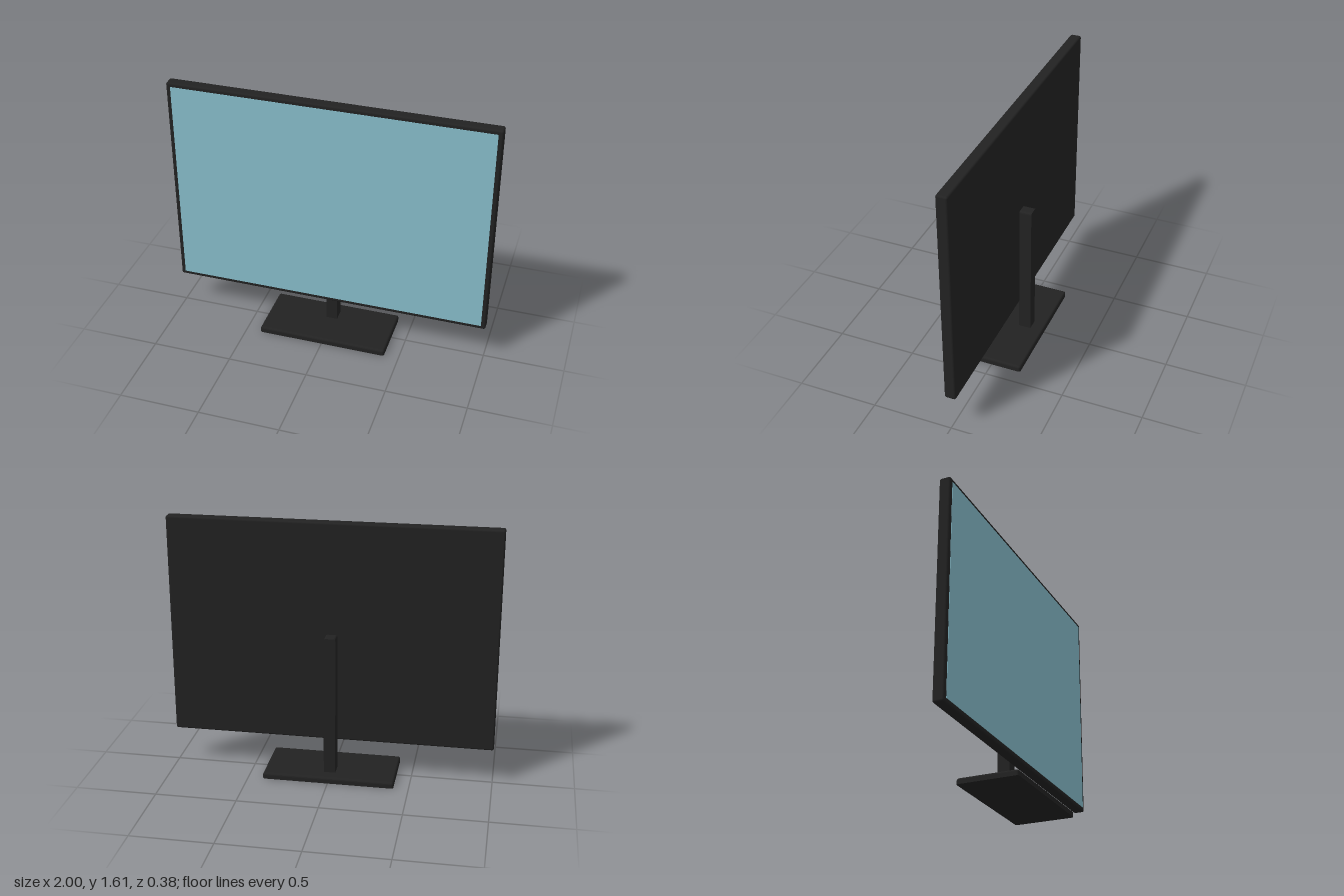
import * as THREE from 'three';
import { RoundedBoxGeometry } from 'three/addons/geometries/RoundedBoxGeometry.js';

const plastic = new THREE.MeshStandardMaterial({ color: 0x222222 });
const glass = new THREE.MeshStandardMaterial({ color: 0x87bdcb });

function part(name, geometry, material, x, y, z) {
  const mesh = new THREE.Mesh(geometry, material);
  mesh.name = name;
  mesh.position.set(x, y, z);
  return mesh;
}

// Slab with softened top edges and a sharp, flat underside at y = 0
function softTopSlab(w, h, d, r) {
  const geo = new RoundedBoxGeometry(w, 2 * h, d, 3, r);
  const pos = geo.attributes.position;
  for (let i = 0; i < pos.count; i++) pos.setY(i, Math.max(0, pos.getY(i)));
  geo.computeVertexNormals();
  return geo;
}

// Upright bar whose two upper corners are rounded
function neckGeometry(w, h, d, r) {
  const s = new THREE.Shape();
  s.moveTo(-w / 2, 0);
  s.lineTo(w / 2, 0);
  s.lineTo(w / 2, h - r);
  s.quadraticCurveTo(w / 2, h, w / 2 - r, h);
  s.lineTo(-w / 2 + r, h);
  s.quadraticCurveTo(-w / 2, h, -w / 2, h - r);
  s.closePath();
  return new THREE.ExtrudeGeometry(s, { depth: d, bevelEnabled: false, curveSegments: 4 });
}

export function createModel() {
  const model = new THREE.Group();
  model.name = 'monitor';

  // Display: soft-edged casing with a thin screen on its front
  const display = new THREE.Group();
  display.name = 'display';
  display.position.y = 0.92;
  display.add(part('casing', new RoundedBoxGeometry(2, 1.38, 0.07, 2, 0.012), plastic, 0, 0, 0));
  display.add(part('screen', new THREE.BoxGeometry(1.945, 1.33, 0.006), glass, 0, 0, 0.034));
  model.add(display);

  // Stand: neck behind the casing and a wide foot
  const stand = new THREE.Group();
  stand.name = 'stand';
  stand.add(part('neck', neckGeometry(0.072, 0.885, 0.077, 0.014), plastic, 0, 0.035, -0.111));
  stand.add(part('foot', softTopSlab(0.815, 0.038, 0.38, 0.014), plastic, 0, 0, 0));
  model.add(stand);

  return model;
}
